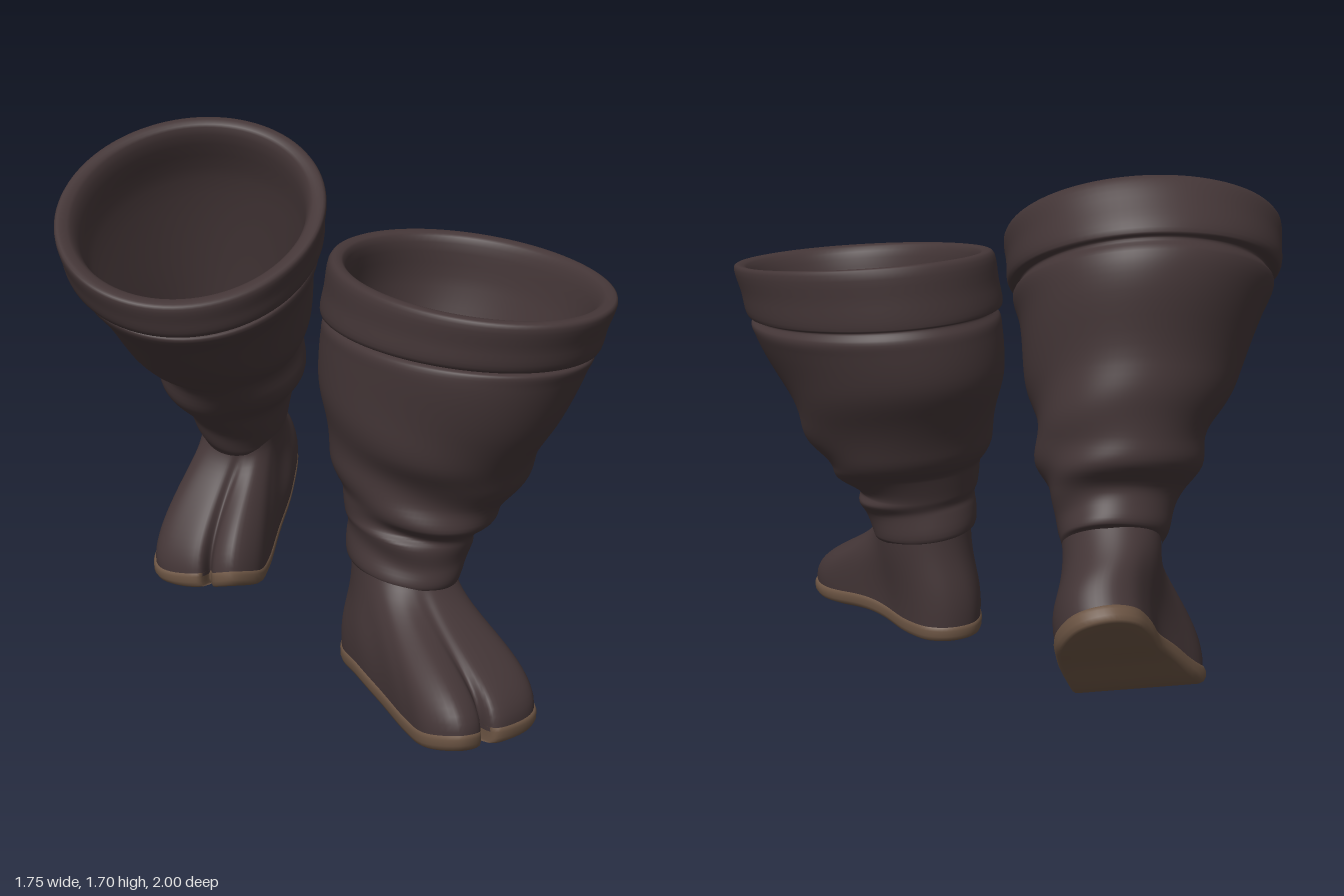
import * as THREE from 'three';

const N = 96;
const leather = new THREE.MeshStandardMaterial({ color: 0x443637 });
leather.name = 'dark leather';
const soleBrown = new THREE.MeshStandardMaterial({ color: 0x6b5443 });
soleBrown.name = 'sole brown';

const V = (x, y, z) => new THREE.Vector3(x, y, z);

// Skin closed rings (counterclockwise from above) into one smooth surface
function loft(rings, material, name, flip = false) {
  const pos = [], idx = [];
  rings.forEach(r => r.forEach(p => pos.push(p.x, p.y, p.z)));
  for (let k = 0; k < rings.length - 1; k++) {
    for (let i = 0; i < N; i++) {
      const j = (i + 1) % N;
      const a = k * N + i, b = k * N + j, c = a + N, d = b + N;
      if (flip) idx.push(a, d, b, a, c, d);
      else idx.push(a, b, d, a, d, c);
    }
  }
  const g = new THREE.BufferGeometry();
  g.setAttribute('position', new THREE.Float32BufferAttribute(pos, 3));
  g.setIndex(idx);
  g.computeVertexNormals();
  const mesh = new THREE.Mesh(g, material);
  mesh.name = name;
  return mesh;
}

// Point on a tilted oval ring: front z, front y, back z, back y, min x, max x
const ringPoint = ([fz, fy, bz, by, x0, x1], c, s) => V(
  (x0 + x1) / 2 + (x1 - x0) / 2 * c,
  (fy + by) / 2 + (fy - by) / 2 * s,
  (fz + bz) / 2 + (fz - bz) / 2 * s);

// Baggy shaft: outside from ankle to cuff, over the rim and down the inside
function makeShaft(rows, outerRows, phi, slope) {
  const columns = [];
  const steps = (rows.length - 1) * 5;
  const foldEnd = (outerRows - 1) * 5;
  for (let i = 0; i < N; i++) {
    const t = -i / N * Math.PI * 2;
    const c = Math.cos(t), s = Math.sin(t + phi);
    const curve = new THREE.CatmullRomCurve3(
      rows.map(r => ringPoint(r, c, s).add(V(0, slope * c, 0))));
    const col = [];
    for (let j = 0; j <= steps; j++) {
      const p = curve.getPoint(j / steps);
      // slanting cloth folds
      if (j < foldEnd) {
        const w = 0.009 * Math.sin(Math.PI * j / foldEnd)
          * Math.sin(j * 0.5 + 3 * Math.sin(t + 0.8) + 0.8 * Math.sin(2 * t));
        p.x += c * w;
        p.z += s * w;
      }
      col.push(p);
    }
    columns.push(col);
  }
  const rings = [];
  for (let j = 0; j <= steps; j++) rings.push(columns.map(col => col[j]));
  // inner floor
  const last = rings[steps];
  const mid = last.reduce((m, p) => m.add(p), V(0, 0, 0)).divideScalar(N);
  rings.push(last.map(() => mid.clone()));
  return loft(rings, leather, 'shaft');
}

// Plan of the split-toe foot as x, z: heel, inner side, big toe, notch, outer side
const plan = [
  [0.17, 0.11], [0.08, 0.15], [0.035, 0.27], [0.06, 0.45], [0.115, 0.62], [0.16, 0.80],
  [0.205, 0.93], [0.295, 0.99], [0.362, 0.95], [0.375, 0.86], [0.415, 0.92], [0.50, 0.875],
  [0.57, 0.79], [0.565, 0.67], [0.47, 0.51], [0.37, 0.36], [0.31, 0.22], [0.25, 0.135],
];
const tracePlan = notchZ => {
  const curve = new THREE.CatmullRomCurve3(
    plan.map(([x, z], i) => V(x, 0, i === 9 ? notchZ : z)), true);
  return Array.from({ length: N }, (_, i) => curve.getPoint(i / N));
};
const outline = tracePlan(0.86);
const instep = tracePlan(0.915); // softer split for the top of the toes
const base = z => 0.008 + Math.max(0, z - 0.8) ** 2 + 0.02 * Math.exp(-(((z - 0.45) / 0.12) ** 2));
const spine = p => {
  const z = THREE.MathUtils.clamp(p.z, 0.27, 0.8);
  return V(0.17 + 0.25 * (z - 0.2), 0, z);
};

// Foot upper and sole; place() poses each point, side is 1 for left and -1 for right
function makeFoot(place, ankle, side) {
  const foot = new THREE.Group();
  foot.name = 'foot';
  const flip = side < 0;
  const legAxis = V(0, ankle[0] - ankle[2], ankle[3] - ankle[1]).normalize();
  const curves = outline.map((p, i) => {
    // ankle angle, halfway between even spacing and the true direction
    const even = i / N * Math.PI * 2;
    const dir = Math.atan2(0.23 - p.x, 0.33 - p.z) - even;
    const a = even + 0.5 * Math.atan2(Math.sin(dir), Math.cos(dir));
    const A = ringPoint(ankle, -side * Math.sin(a), -Math.cos(a));
    const P = place(V(p.x, base(p.z) + 0.04, p.z));
    const q = instep[i];
    const C1 = place(spine(q).lerp(q, 1.09).setY(base(q.z) + 0.195));
    const C2 = P.clone().sub(A).setY(0).multiplyScalar(0.2).add(A).addScaledVector(legAxis, -0.15);
    return new THREE.CubicBezierCurve3(P, C1, C2, A);
  });
  const upper = [];
  for (let k = 0; k <= 18; k++) upper.push(curves.map(c => c.getPoint(k / 18)));
  foot.add(loft(upper, leather, 'footUpper', flip));

  // sole profile: share of the outline, height
  const profile = [[0, 0], [0.35, 0], [0.7, 0], [0.94, 0], [1, 0.006], [1.035, 0.02],
    [1.04, 0.04], [1.02, 0.053], [0.96, 0.055]];
  const sole = profile.map(([f, h]) => outline.map(p => {
    const q = spine(p).lerp(p, f);
    q.y = base(q.z) + h;
    return place(q);
  }));
  foot.add(loft(sole, soleBrown, 'sole', flip));
  return foot;
}

// Mirror the foot and roll it up onto its toes
function raised(p) {
  const s = 1.06 * (1 - p.z), ds = s / 24;
  let z = -0.23, y = 0.022, a = 0;
  for (let i = 0; i < 24; i++) {
    a = -0.14 + 0.92 * THREE.MathUtils.smoothstep((i + 0.5) * ds, 0, 0.58);
    z -= Math.cos(a) * ds;
    y += Math.sin(a) * ds;
  }
  return V(-p.x + 0.06 * s, y + Math.cos(a) * p.y, z + Math.sin(a) * p.y);
}

const leftAnkle = [0.53, 0.40, 0.13, 0.40, 0.06, 0.395];
const leftRows = [
  [0.53, 0.36, 0.13, 0.37, 0.06, 0.40], [0.55, 0.39, 0.11, 0.38, 0.05, 0.41],
  [0.535, 0.45, 0.11, 0.47, 0.05, 0.43], [0.55, 0.52, 0.10, 0.50, 0.045, 0.46],
  [0.54, 0.55, 0.10, 0.53, 0.05, 0.46], [0.58, 0.59, 0.05, 0.61, 0.03, 0.53],
  [0.58, 0.66, 0.02, 0.65, 0.02, 0.57], [0.61, 0.74, -0.03, 0.73, 0, 0.63],
  [0.67, 0.83, -0.11, 0.86, -0.02, 0.67], [0.72, 0.95, -0.17, 0.98, -0.03, 0.73],
  [0.765, 1.11, -0.20, 1.10, -0.03, 0.80], [0.77, 1.16, -0.20, 1.15, -0.02, 0.82],
  [0.745, 1.17, -0.185, 1.18, 0, 0.80], [0.79, 1.18, -0.19, 1.19, -0.03, 0.83],
  [0.81, 1.25, -0.19, 1.28, -0.02, 0.85], [0.825, 1.33, -0.18, 1.385, 0, 0.87],
  [0.77, 1.33, -0.13, 1.375, 0.04, 0.83], [0.72, 1.20, -0.13, 1.20, 0.04, 0.77],
  [0.62, 0.85, -0.06, 0.85, 0.03, 0.61], [0.53, 0.62, 0.07, 0.62, 0.06, 0.51],
  [0.50, 0.66, 0.07, 0.66, 0.08, 0.49], [0.47, 0.64, 0.10, 0.64, 0.105, 0.46],
  [0.47, 0.50, 0.12, 0.50, 0.105, 0.43],
];
const rightAnkle = [-0.485, 0.52, -0.77, 0.70, -0.36, -0.055];
const rightRows = [
  [-0.49, 0.48, -0.79, 0.67, -0.37, -0.05], [-0.47, 0.51, -0.805, 0.69, -0.385, -0.04],
  [-0.43, 0.58, -0.785, 0.74, -0.41, -0.04], [-0.37, 0.65, -0.78, 0.80, -0.46, -0.02],
  [-0.28, 0.72, -0.83, 0.88, -0.51, 0.01], [-0.21, 0.82, -0.84, 0.96, -0.54, 0],
  [-0.14, 0.86, -0.83, 1.07, -0.60, 0.01], [-0.06, 0.92, -0.815, 1.20, -0.67, 0.02],
  [0.07, 1.05, -0.825, 1.40, -0.76, 0.03], [0.14, 1.12, -0.80, 1.51, -0.81, 0.04],
  [0.115, 1.14, -0.77, 1.54, -0.79, 0.02], [0.17, 1.14, -0.78, 1.56, -0.84, 0.05],
  [0.19, 1.19, -0.72, 1.64, -0.86, 0.05], [0.20, 1.25, -0.64, 1.71, -0.87, 0.045],
  [0.14, 1.26, -0.60, 1.68, -0.82, -0.005], [0.08, 1.14, -0.69, 1.48, -0.75, -0.02],
  [-0.12, 0.96, -0.75, 1.15, -0.60, -0.03], [-0.28, 0.78, -0.76, 0.93, -0.49, -0.03],
  [-0.31, 0.82, -0.74, 0.96, -0.47, -0.04], [-0.34, 0.79, -0.72, 0.94, -0.45, -0.06],
  [-0.41, 0.63, -0.72, 0.78, -0.39, -0.06],
];

export function createModel() {
  const model = new THREE.Group();
  model.name = 'pairOfBoots';

  const left = new THREE.Group();
  left.name = 'leftBoot';
  left.add(makeShaft(leftRows, 12, 0.13, -0.025), makeFoot(p => p, leftAnkle, 1));

  const right = new THREE.Group();
  right.name = 'rightBoot';
  right.add(makeShaft(rightRows, 10, -0.12, 0.015), makeFoot(raised, rightAnkle, -1));

  model.add(left, right);
  return model;
}
